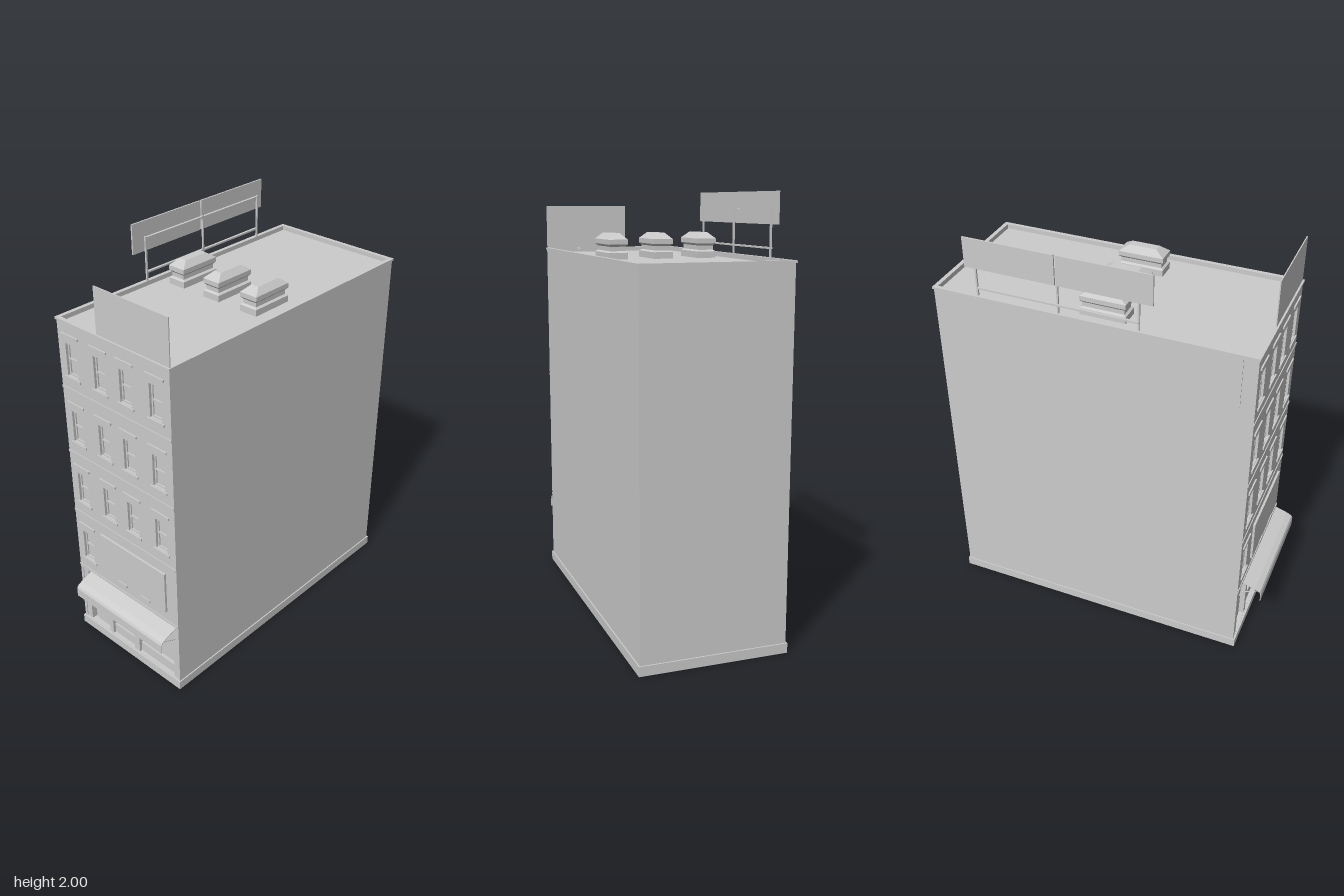
import * as THREE from 'three';

const grey = new THREE.MeshStandardMaterial({ color: 0xcccccc, flatShading: true, side: THREE.DoubleSide });

function add(parent, name, geometry) {
  const mesh = new THREE.Mesh(geometry, grey);
  mesh.name = name;
  parent.add(mesh);
  return mesh;
}

// Box given by its limits on each axis
function box(parent, name, x0, x1, y0, y1, z0, z1) {
  const g = new THREE.BoxGeometry(x1 - x0, y1 - y0, z1 - z0);
  g.translate((x0 + x1) / 2, (y0 + y1) / 2, (z0 + z1) / 2);
  return add(parent, name, g);
}

function trace(path, x0, x1, y0, y1) {
  path.moveTo(x0, y0).lineTo(x1, y0).lineTo(x1, y1).lineTo(x0, y1).closePath();
  return path;
}

// Horizontal rectangular ring
function ring(parent, name, x, zBack, zFront, y0, y1, t) {
  const s = trace(new THREE.Shape(), -x, x, -zFront, -zBack);
  s.holes.push(trace(new THREE.Path(), -x + t, x - t, -zFront + t, -zBack - t));
  const g = new THREE.ExtrudeGeometry(s, { depth: y1 - y0, bevelEnabled: false });
  g.rotateX(-Math.PI / 2).translate(0, y0, 0);
  return add(parent, name, g);
}

const FRONT = 0.7, BACK = -0.79, HALF = 0.34, TOP = 1.72;

// Stacked rectangles [halfX, halfZ, y] joined into a capped solid
function loft(levels) {
  const pos = [], index = [];
  for (const [x, z, y] of levels) pos.push(-x, y, z, x, y, z, x, y, -z, -x, y, -z);
  for (let l = 0; l < levels.length - 1; l++)
    for (let i = 0; i < 4; i++) {
      const a = l * 4 + i, b = l * 4 + (i + 1) % 4;
      index.push(a, b, b + 4, a, b + 4, a + 4);
    }
  const t = (levels.length - 1) * 4;
  index.push(t, t + 1, t + 2, t, t + 2, t + 3);
  const g = new THREE.BufferGeometry();
  g.setAttribute('position', new THREE.Float32BufferAttribute(pos, 3));
  g.setIndex(index);
  const flat = g.toNonIndexed();
  flat.computeVertexNormals();
  return flat;
}

function windowUnit(parent, x, y) {
  const g = new THREE.Group();
  g.name = 'window';
  g.position.set(x, y, FRONT);
  const w = 0.035, h = 0.158;
  box(g, 'windowPane', -w, w, 0, h, -0.022, -0.018);
  for (const s of [-1, 1]) box(g, 'sashSide', s * 0.031 - 0.004, s * 0.031 + 0.004, 0, h, -0.018, -0.012);
  for (const r of [0.004, 0.08, h - 0.004]) box(g, 'sashRail', -w, w, r - 0.004, r + 0.004, -0.018, -0.011);
  box(g, 'sill', -0.05, 0.05, -0.014, -0.002, -0.002, 0.007);
  box(g, 'lintel', -0.054, 0.054, 0.036, 0.048, 0, 0.007).position.y = h - 0.158 + 0.158 - 0.001;
  parent.add(g);
}

export function createModel() {
  const model = new THREE.Group();
  model.name = 'building';

  // Hollow shell, open underneath
  const shell = new THREE.Group();
  shell.name = 'shell';
  model.add(shell);
  for (const s of [-1, 1]) box(shell, 'sideWall', s * 0.338 - 0.002, s * 0.338 + 0.002, 0.02, TOP - 0.005, BACK, FRONT);
  box(shell, 'backWall', -HALF, HALF, 0.02, TOP - 0.005, BACK, BACK + 0.004);
  box(shell, 'roof', -HALF + 0.003, HALF - 0.003, 1.692, 1.698, BACK + 0.003, FRONT - 0.003);
  ring(shell, 'plinth', 0.346, -0.797, 0.708, 0, 0.045, 0.012);
  ring(shell, 'parapet', HALF, BACK, FRONT, 1.695, 1.712, 0.014);
  ring(shell, 'parapetCap', 0.345, -0.796, 0.706, 1.71, TOP, 0.02);

  // Front wall with window and shop openings
  const facade = new THREE.Group();
  facade.name = 'facade';
  model.add(facade);
  const columns = [-0.26, -0.083, 0.076, 0.254];
  const rows = [0.448, 0.783, 1.116, 1.453];
  const spots = [];
  rows.forEach((y, r) => columns.forEach((x, c) => { if (r > 0 || c === 0) spots.push([x, y]); }));
  const wall = trace(new THREE.Shape(), -HALF, HALF, 0.02, TOP - 0.005);
  for (const [x, y] of spots) wall.holes.push(trace(new THREE.Path(), x - 0.035, x + 0.035, y, y + 0.158));
  wall.holes.push(trace(new THREE.Path(), -0.325, 0.325, 0.047, 0.365));
  const wallGeo = new THREE.ExtrudeGeometry(wall, { depth: 0.02, bevelEnabled: false });
  add(facade, 'frontWall', wallGeo.translate(0, 0, FRONT - 0.02));
  for (const [x, y] of spots) windowUnit(facade, x, y);
  for (const y of [0.381, 0.714, 1.048, 1.385]) box(facade, 'floorBand', -HALF, HALF, y - 0.006, y + 0.006, FRONT - 0.002, FRONT + 0.004);

  // Large sign panel with small lamps along its foot
  box(facade, 'wallPanel', -0.156, 0.272, 0.44, 0.66, FRONT, 0.711);
  for (const x of [-0.015, 0.14]) box(facade, 'panelLamp', x - 0.03, x + 0.03, 0.434, 0.449, FRONT, 0.716);

  // Shopfront
  const shop = new THREE.Group();
  shop.name = 'shopfront';
  model.add(shop);
  box(shop, 'shopGlass', -0.325, 0.325, 0.045, 0.365, 0.662, 0.666);
  for (const [a, b] of [[-0.325, -0.29], [-0.156, -0.13], [0.024, 0.06], [0.3, 0.325]])
    box(shop, 'pillar', a, b, 0.045, 0.365, 0.662, 0.696);
  for (const [a, b] of [[-0.13, 0.024], [0.06, 0.3]]) {
    box(shop, 'shopSill', a, b, 0.045, 0.1, 0.662, 0.682);
    box(shop, 'shopHead', a, b, 0.285, 0.365, 0.662, 0.686);
  }
  box(shop, 'doorHead', -0.29, -0.156, 0.31, 0.365, 0.662, 0.686);
  box(shop, 'door', -0.27, -0.175, 0.047, 0.285, 0.666, 0.674);
  box(shop, 'doorPanel', -0.255, -0.19, 0.11, 0.21, 0.674, 0.678);
  for (const y of [0.045, 0.365]) box(shop, 'shopReveal', -0.325, 0.325, y - 0.001, y + 0.001, 0.662, FRONT);
  for (const x of [-0.325, 0.325]) box(shop, 'shopJamb', x - 0.001, x + 0.001, 0.045, 0.365, 0.662, FRONT);

  // Awning: sloping cloth with hanging valance and stays
  const cloth = new THREE.Shape();
  cloth.moveTo(0.7, 0.372).lineTo(0.765, 0.351).lineTo(0.79, 0.338).lineTo(0.796, 0.325).lineTo(0.796, 0.28)
    .lineTo(0.793, 0.28).lineTo(0.793, 0.324).lineTo(0.787, 0.335).lineTo(0.764, 0.347).lineTo(0.7, 0.368).closePath();
  const awning = new THREE.ExtrudeGeometry(cloth, { depth: 0.585, bevelEnabled: false });
  add(model, 'awning', awning.rotateY(-Math.PI / 2).translate(0.325, 0, 0));
  for (const x of [-0.255, 0.32]) {
    const path = new THREE.LineCurve3(new THREE.Vector3(x, 0.3, 0.7), new THREE.Vector3(x, 0.34, 0.785));
    add(model, 'awningStay', new THREE.TubeGeometry(path, 1, 0.002, 5));
  }

  // Roof vents with flared caps
  for (const x of [-0.225, -0.01, 0.208]) {
    const vent = add(model, 'roofVent', loft([
      [0.046, 0.107, 1.69], [0.046, 0.107, 1.728], [0.036, 0.097, 1.735], [0.036, 0.097, 1.755],
      [0.046, 0.107, 1.765], [0.046, 0.107, 1.787], [0.02, 0.065, 1.815]]));
    vent.position.set(x, 0, -0.01);
  }

  // Front rooftop board
  box(model, 'frontBoard', -0.087, 0.34, 1.7, 1.935, 0.692, 0.697);

  // Side rooftop boards on a post-and-rail frame
  const sign = new THREE.Group();
  sign.name = 'sideBoardFrame';
  model.add(sign);
  box(sign, 'sideBoard', -0.348, -0.34, 1.86, 2, -0.182, 0.248);
  box(sign, 'sideBoard', -0.348, -0.34, 1.86, 2, -0.615, -0.19);
  for (const z of [0.18, -0.187, -0.572]) box(sign, 'post', -0.334, -0.326, 1.69, 1.932, z - 0.004, z + 0.004);
  for (const y of [1.76, 1.922]) box(sign, 'rail', -0.34, -0.328, y - 0.004, y + 0.004, -0.572, 0.18);

  // Flat panel on the right side wall
  box(model, 'sidePanel', -0.344, -0.34, 1.465, 1.71, 0.15, 0.635);

  return model;
}
